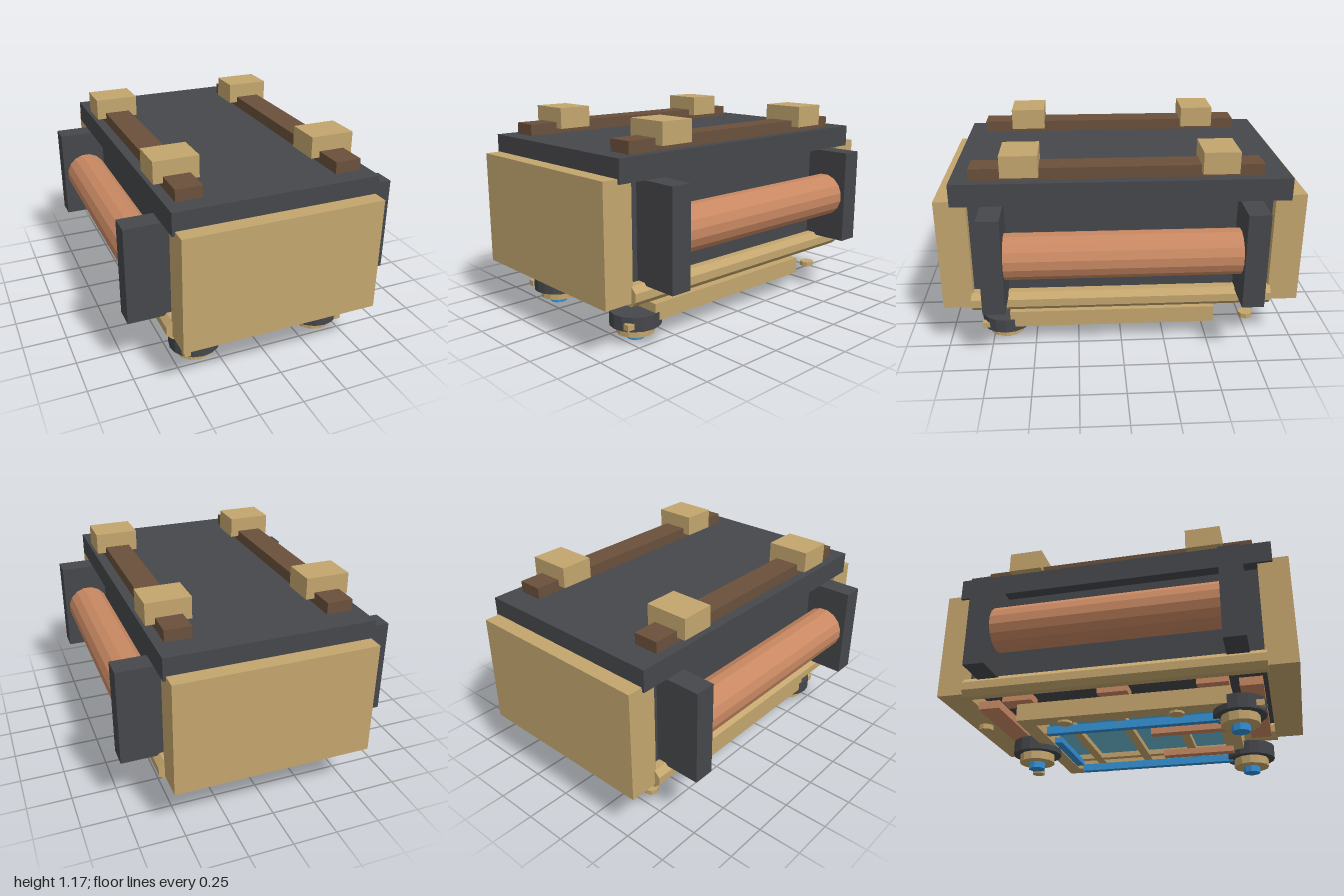
import * as THREE from 'three';

const mat = (color) => new THREE.MeshStandardMaterial({ color, flatShading: true });
const TAN = mat(0xc4a66e), DARK = mat(0x46474b), COPPER = mat(0xc88862);
const BROWN = mat(0x6a503c), BLUE = mat(0x3592d6), CYAN = mat(0x6dbdd5);

export function createModel() {
  const root = new THREE.Group();

  const add = (name, geometry, material, x = 0, y = 0, z = 0) => {
    const mesh = new THREE.Mesh(geometry, material);
    mesh.name = name;
    mesh.position.set(x, y, z);
    root.add(mesh);
    return mesh;
  };
  // Box given by its ranges along x, y and z
  const box = (name, material, [x0, x1], [y0, y1], [z0, z1]) =>
    add(name, new THREE.BoxGeometry(x1 - x0, y1 - y0, z1 - z0), material,
      (x0 + x1) / 2, (y0 + y1) / 2, (z0 + z1) / 2);
  // The same box on both sides of x = 0
  const pair = (name, material, [x0, x1], y, z) => {
    box(name, material, [x0, x1], y, z);
    box(name, material, [-x1, -x0], y, z);
  };
  // Upright disc between two heights
  const disc = (name, material, r, sides, y0, y1, x, z) =>
    add(name, new THREE.CylinderGeometry(r, r, y1 - y0, sides), material, x, (y0 + y1) / 2, z);
  // Bar along z with a round or polygonal section
  const rod = (name, material, r, sides, length, x, y) => {
    const g = new THREE.CylinderGeometry(r, r, length, sides);
    g.rotateY(Math.PI / sides).rotateX(Math.PI / 2);
    return add(name, g, material, x, y, 0);
  };

  // Main body, end panels and lid
  box('bodyCore', DARK, [-0.5, 0.5], [0.36, 0.9], [-0.83, 0.83]);
  box('frontPanel', TAN, [-0.555, 0.555], [0.285, 0.925], [0.83, 1]);
  box('backPanel', TAN, [-0.555, 0.555], [0.285, 0.925], [-1, -0.83]);
  box('lid', DARK, [-0.57, 0.57], [0.9, 1.025], [-0.913, 0.913]);

  // Roof rails with clamp blocks
  pair('roofRail', BROWN, [0.37, 0.515], [1.025, 1.09], [-0.765, 0.81]);
  pair('roofBlock', TAN, [0.32, 0.567], [1.055, 1.175], [0.44, 0.64]);
  pair('roofBlock', TAN, [0.32, 0.567], [1.055, 1.175], [-0.62, -0.425]);

  // Side tanks, their brackets and the lower side rails
  for (const s of [-1, 1]) {
    rod('sideTank', COPPER, 0.127, 16, 1.27, s * 0.617, 0.63);
    rod('sideRail', TAN, 0.059, 8, 1.68, s * 0.533, 0.32);
  }
  for (const z of [[0.635, 0.755], [-0.755, -0.635]])
    pair('tankBracket', DARK, [0.48, 0.765], [0.36, 0.9], z);

  // Copper strips under the body
  for (const z of [[0.68, 0.805], [-0.805, -0.68]])
    box('crossStrip', COPPER, [-0.42, 0.42], [0.243, 0.29], z);
  for (const z of [0.545, 0, -0.545])
    pair('sideStrip', COPPER, [0.39, 0.495], [0.243, 0.285], [z - 0.085, z + 0.085]);

  // Undercarriage frame: outer beams and thinner lattice
  pair('frameSideBeam', TAN, [0.41, 0.505], [0.118, 0.215], [-0.535, 0.57]);
  box('frameFrontBeam', TAN, [-0.505, 0.505], [0.118, 0.215], [0.54, 0.64]);
  box('frameBackBeam', TAN, [-0.505, 0.505], [0.118, 0.215], [-0.535, -0.45]);
  for (const z of [0.33, 0.03, -0.27])
    box('latticeCrossbar', TAN, [-0.42, 0.42], [0.12, 0.15], [z - 0.025, z + 0.025]);
  pair('latticeBar', TAN, [0.23, 0.27], [0.12, 0.15], [-0.46, 0.55]);

  // Low pivot pyramid above the frame, with a pale floor
  const pyramid = new THREE.BoxGeometry(0.74, 0.06, 1.06);
  const p = pyramid.attributes.position;
  for (let i = 0; i < p.count; i++)
    if (p.getY(i) > 0) p.setXYZ(i, p.getX(i) * 0.3, p.getY(i), p.getZ(i) * 0.3);
  pyramid.computeVertexNormals();
  add('pivotPyramid', pyramid, BLUE, 0, 0.242, -0.005);
  box('pivotFloor', CYAN, [-0.36, 0.36], [0.195, 0.212], [-0.46, 0.55]);

  // Bars under the frame
  pair('lowerSideBar', BLUE, [0.335, 0.375], [0.077, 0.12], [-0.4, 0.56]);
  box('lowerCrossBar', BLUE, [-0.225, 0.225], [0.077, 0.108], [-0.405, -0.36]);
  pair('lowerCopperBar', COPPER, [0.17, 0.225], [0.085, 0.12], [0.16, 0.58]);

  // Three stacked feet
  for (const [x, z] of [[-0.373, 0.67], [0.373, 0.67], [0, -0.59]]) {
    disc('footDrum', DARK, 0.143, 16, 0.085, 0.165, x, z);
    disc('footRing', TAN, 0.105, 12, 0.037, 0.085, x, z);
    disc('footStud', BLUE, 0.05, 8, 0, 0.037, x, z);
  }
  pair('footTab', TAN, [0.443, 0.48], [0.1, 0.133], [0.72, 0.805]);

  // Small round pins
  for (const x of [-0.43, 0.43]) {
    disc('rearPin', TAN, 0.042, 8, 0.105, 0.133, x, -0.74);
    for (const z of [0.34, -0.28]) disc('framePin', TAN, 0.042, 8, 0.105, 0.13, x, z);
  }

  return root;
}
